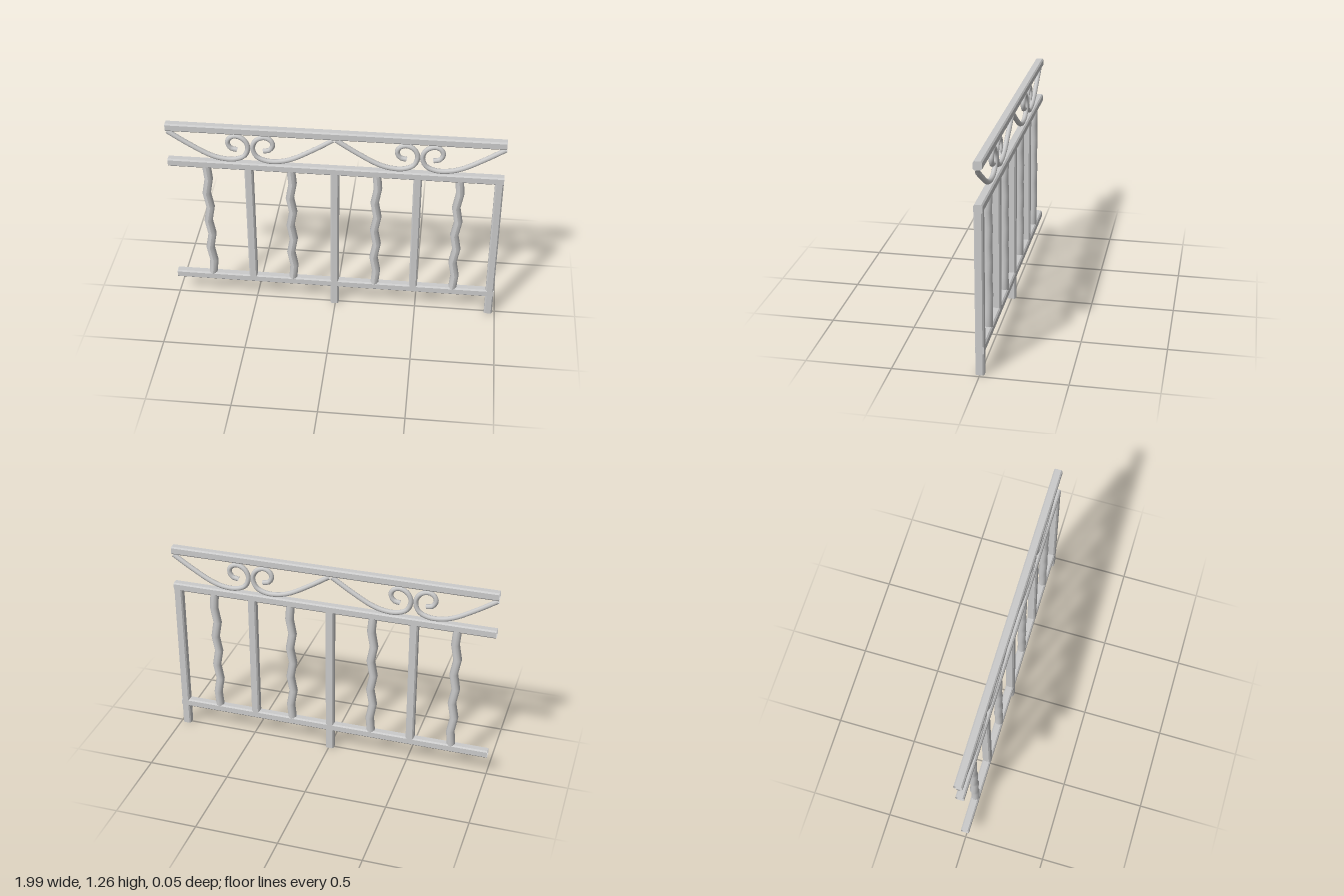
import * as THREE from 'three';

const material = new THREE.MeshStandardMaterial({ color: 0xcccccc, side: THREE.DoubleSide });

// Hollow square tube with chamfered corners: open at its start, capped at its far end
function squareTube(length) {
  const h = 0.025, c = 0.008, k = h - c;
  const outline = [[k, -h], [h, -k], [h, k], [k, h], [-k, h], [-h, k], [-h, -k], [-k, -h]];
  const shape = new THREE.Shape(outline.map(([x, y]) => new THREE.Vector2(x, y)));
  const geometry = new THREE.ExtrudeGeometry(shape, { depth: length, bevelEnabled: false });
  const lid = (outline.length - 2) * 3;
  const count = geometry.attributes.position.count;
  geometry.clearGroups();
  geometry.setIndex(Array.from({ length: count - lid }, (_, i) => i + lid));
  return geometry;
}

// Round bar whose rings step from side to side
function wavyBar(bottom, top) {
  const rings = 8, radius = 0.026, height = top - bottom;
  const geometry = new THREE.CylinderGeometry(radius, radius, height, 10, rings, true);
  const p = geometry.attributes.position;
  for (let i = 0; i < p.count; i++) {
    const ring = Math.round((0.5 - p.getY(i) / height) * rings);
    const end = ring === 0 || ring === rings;
    p.setX(i, p.getX(i) + (end ? 0 : ring % 2 ? 0.009 : -0.009));
  }
  geometry.translate(0, (bottom + top) / 2, 0);
  geometry.computeVertexNormals();
  return geometry;
}

// One scroll, running from the top rail down and curling up beside x = 0
function scroll(side) {
  const points = [
    [0.49, 1.2], [0.366, 1.12], [0.243, 1.052], [0.168, 1.031], [0.094, 1.031],
    [0.035, 1.059], [0.014, 1.118], [0.035, 1.168], [0.083, 1.191],
    [0.12, 1.176], [0.134, 1.144], [0.115, 1.107], [0.078, 1.098],
  ].map(([x, y]) => new THREE.Vector3(side * x, y, 0));
  return new THREE.TubeGeometry(new THREE.CatmullRomCurve3(points), 48, 0.015, 8);
}

export function createModel() {
  const model = new THREE.Group();
  const add = (name, geometry, x = 0, y = 0) => {
    const mesh = new THREE.Mesh(geometry, material);
    mesh.name = name;
    mesh.position.set(x, y, 0);
    model.add(mesh);
  };

  // Horizontal rails
  for (const [name, y] of [['topRail', 1.235], ['middleRail', 0.992], ['bottomRail', 0.155]]) {
    add(name, squareTube(1.985).rotateY(Math.PI / 2), -1, y);
  }

  // Posts that reach the ground
  for (const [name, x] of [['centrePost', -0.005], ['endPost', 0.96]]) {
    add(name, squareTube(0.99).rotateX(-Math.PI / 2), x, 0);
  }

  // Straight bars between the rails
  for (const x of [-0.517, 0.484]) {
    add('straightBar', squareTube(0.83).rotateX(-Math.PI / 2), x, 0.155);
  }

  // Wavy bars between the rails
  for (const x of [-0.773, -0.267, 0.243, 0.728]) {
    add('wavyBar', wavyBar(0.17, 0.98), x);
  }

  // Mirrored pairs of scrolls under the top rail
  for (const x of [-0.504, 0.492]) {
    for (const side of [-1, 1]) add('scroll', scroll(side), x);
  }

  return model;
}
